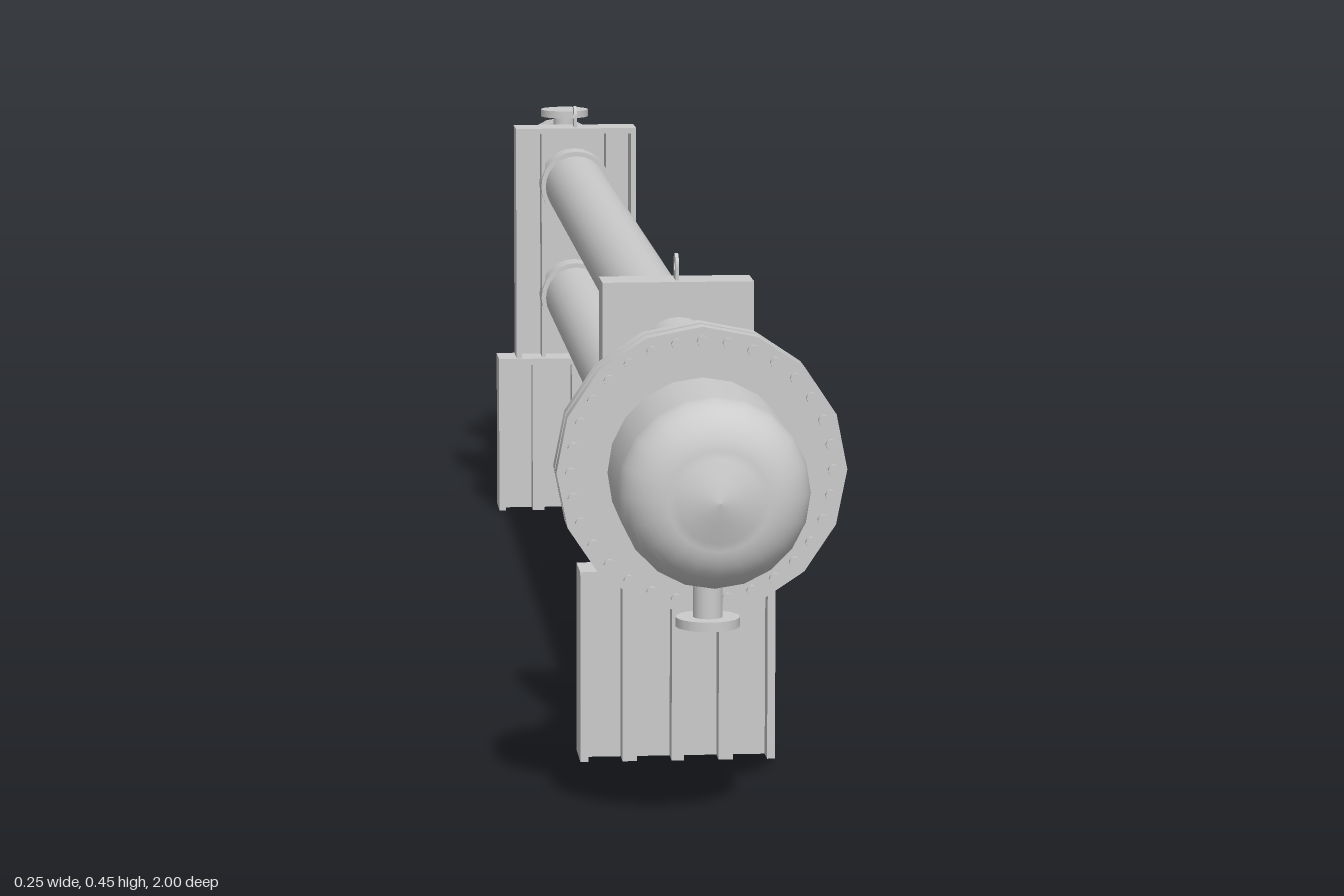
import * as THREE from 'three';

const material = new THREE.MeshStandardMaterial({ color: 0xcccccc });
const PIPE_Y = [0.365, 0.24];

function add(parent, name, geometry, x = 0, y = 0, z = 0) {
  const mesh = new THREE.Mesh(geometry, material);
  mesh.name = name;
  mesh.position.set(x, y, z);
  parent.add(mesh);
  return mesh;
}

// Box given by its limits
function box(parent, name, [x0, x1], [y0, y1], [z0, z1]) {
  return add(parent, name, new THREE.BoxGeometry(x1 - x0, y1 - y0, z1 - z0),
    (x0 + x1) / 2, (y0 + y1) / 2, (z0 + z1) / 2);
}

// Cylinder lying along z between two z values
function rod(parent, name, r, z0, z1, y, sides = 20, x = 0) {
  const g = new THREE.CylinderGeometry(r, r, z1 - z0, sides).rotateX(Math.PI / 2);
  return add(parent, name, g, x, y, (z0 + z1) / 2);
}

// Ring of bolts running along z
function bolts(parent, count, ring, r, z0, z1, y) {
  for (let i = 0; i < count; i++) {
    const a = (i / count) * Math.PI * 2;
    rod(parent, 'bolt', r, z0, z1, y + Math.cos(a) * ring, 8, Math.sin(a) * ring);
  }
}

// Vertical nozzle with a flange at its far end
function nozzle(name, yStart, yEnd, z) {
  const group = new THREE.Group();
  group.name = name;
  const length = Math.abs(yEnd - yStart);
  const end = yEnd - Math.sign(yEnd - yStart) * 0.004;
  add(group, 'neck', new THREE.CylinderGeometry(0.0125, 0.0125, length, 16), 0, (yStart + yEnd) / 2, z);
  add(group, 'nozzleFlange', new THREE.CylinderGeometry(0.027, 0.027, 0.008, 20), 0, end, z);
  return group;
}

// Domed return header with its bolted flange pair
function header() {
  const group = new THREE.Group();
  group.name = 'returnHeader';
  const profile = [new THREE.Vector2(0.08, 0.83)];
  for (let i = 0; i <= 10; i++) {
    const a = (i / 10) * Math.PI / 2;
    profile.push(new THREE.Vector2(0.035 + 0.045 * Math.cos(a), 0.945 + 0.045 * Math.sin(a)));
  }
  profile.push(new THREE.Vector2(0.018, 0.997), new THREE.Vector2(0, 1));
  add(group, 'dome', new THREE.LatheGeometry(profile, 20).rotateX(Math.PI / 2), 0, 0.3, 0);
  rod(group, 'rearFlange', 0.123, 0.803, 0.82, 0.3, 16);
  rod(group, 'gasket', 0.1, 0.82, 0.826, 0.3, 16);
  rod(group, 'frontFlange', 0.123, 0.826, 0.843, 0.3, 16);
  bolts(group, 32, 0.111, 0.0048, 0.798, 0.848, 0.3);
  group.add(nozzle('drainNozzle', 0.235, 0.178, 0.895));
  return group;
}

// One straight pipe with flanged closure and end connection
function pipe(y) {
  const group = new THREE.Group();
  group.name = 'pipe';
  rod(group, 'shell', 0.034, -0.882, 0.805, y, 24);
  rod(group, 'innerFlange', 0.049, -0.89, -0.88, y, 20);
  rod(group, 'flangeGap', 0.036, -0.902, -0.89, y, 20);
  rod(group, 'outerFlange', 0.049, -0.912, -0.902, y, 20);
  bolts(group, 8, 0.043, 0.003, -0.915, -0.877, y);
  rod(group, 'endCap', 0.028, -0.938, -0.91, y, 20);
  rod(group, 'connection', 0.0125, -0.993, -0.935, y, 16);
  rod(group, 'connectionFlange', 0.027, -1, -0.992, y, 20);
  return group;
}

// Support facing +z: solid plate in front, open channel behind
function support() {
  const group = new THREE.Group();
  group.name = 'support';
  const depth = [-0.021, 0.021];
  box(group, 'facePlate', [-0.067, 0.067], [0.172, 0.43], [0.015, 0.021]);
  box(group, 'topPlate', [-0.067, 0.067], [0.424, 0.43], depth);
  for (const s of [-1, 1]) {
    box(group, 'sidePlate', [s * 0.064 - 0.003, s * 0.064 + 0.003], [0.172, 0.43], depth);
    box(group, 'stiffener', [s * 0.036 - 0.002, s * 0.036 + 0.002], [0.172, 0.424], [-0.012, 0.015]);
  }
  for (const y of PIPE_Y) rod(group, 'sleeve', 0.039, -0.021, 0.02, y, 24);

  // Ribbed foot, open at the bottom
  const footDepth = [-0.0235, 0.0235];
  box(group, 'footTop', [-0.087, 0.087], [0.165, 0.172], footDepth);
  box(group, 'footWeb', [-0.087, 0.087], [0, 0.165], [-0.003, 0.003]);
  for (const [x, w] of [[-0.0835, 0.007], [-0.043, 0.013], [0, 0.011], [0.043, 0.013], [0.0835, 0.007]])
    box(group, 'footRib', [x - w / 2, x + w / 2], [0, 0.165], footDepth);

  // Lifting eye
  const eye = new THREE.Shape();
  eye.moveTo(-0.011, 0);
  eye.lineTo(0.011, 0);
  eye.lineTo(0.011, 0.012);
  eye.absarc(0, 0.012, 0.011, 0, Math.PI, false);
  eye.holes.push(new THREE.Path().absarc(0, 0.012, 0.005, 0, Math.PI * 2, true));
  const eyeGeometry = new THREE.ExtrudeGeometry(eye, { depth: 0.003, bevelEnabled: false, curveSegments: 8 });
  eyeGeometry.translate(0, 0, -0.0015).rotateY(Math.PI / 2);
  add(group, 'liftingEye', eyeGeometry, 0, 0.43, 0);
  return group;
}

export function createModel() {
  const model = new THREE.Group();
  model.name = 'doublePipeExchanger';
  model.add(header());
  for (const y of PIPE_Y) model.add(pipe(y));
  model.add(nozzle('topNozzle', 0.385, 0.432, -0.838));

  // The two supports open toward each other
  const front = support();
  front.position.z = 0.596;
  const back = support();
  back.rotation.y = Math.PI;
  back.position.z = -0.669;
  model.add(front, back);
  return model;
}
